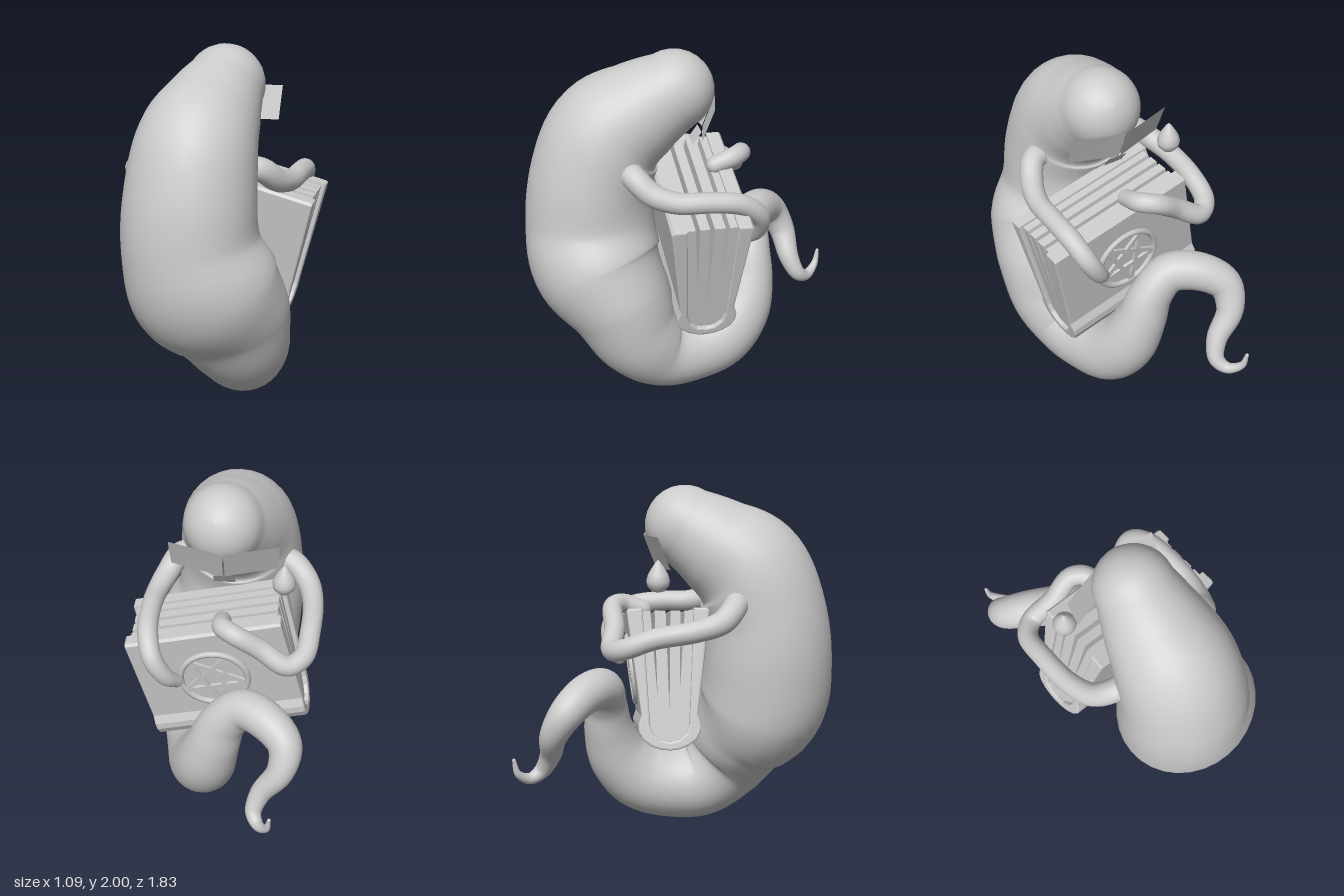
import * as THREE from 'three';

const mat = new THREE.MeshStandardMaterial({ color: 0xcccccc });
const thinMat = new THREE.MeshStandardMaterial({ color: 0xcccccc, side: THREE.DoubleSide });

function add(parent, name, geo, material = mat) {
  const m = new THREE.Mesh(geo, material);
  m.name = name;
  parent.add(m);
  return m;
}

// Smooth sweep through rows of [x, y, z, rSide, rNormal], with rounded ends
function sweep(rows, steps, sides) {
  const path = new THREE.CatmullRomCurve3(rows.map(r => new THREE.Vector3(r[0], r[1], r[2])));
  const radii = new THREE.CatmullRomCurve3(
    rows.map(r => new THREE.Vector3(r[3], r[4] ?? r[3], 0)), false, 'catmullrom', 0.5);
  const rings = [];
  const side = new THREE.Vector3(1, 0, 0);
  const capSteps = 7;
  for (let i = 0; i <= steps; i++) {
    const t = i / steps;
    const c = path.getPoint(t), tan = path.getTangent(t), r = radii.getPoint(t);
    side.addScaledVector(tan, -side.dot(tan)).normalize();
    const s = side.clone(), n = new THREE.Vector3().crossVectors(tan, s);
    const ring = (a, dir) => rings.push({
      c: c.clone().addScaledVector(tan, dir * Math.sin(a) * r.y), s, n,
      a: Math.max(r.x, 0.003) * Math.cos(a), b: Math.max(r.y, 0.003) * Math.cos(a) });
    if (i === 0) for (let k = capSteps; k > 0; k--) ring(k / capSteps * Math.PI / 2, -1);
    ring(0, 0);
    if (i === steps) for (let k = 1; k <= capSteps; k++) ring(k / capSteps * Math.PI / 2, 1);
  }
  const pos = [], idx = [];
  rings.forEach((g, i) => {
    for (let j = 0; j < sides; j++) {
      const a = j / sides * Math.PI * 2;
      const p = g.c.clone().addScaledVector(g.s, Math.cos(a) * g.a).addScaledVector(g.n, Math.sin(a) * g.b);
      pos.push(p.x, p.y, p.z);
      if (i === 0) continue;
      const k = (j + 1) % sides, lo = (i - 1) * sides, hi = i * sides;
      idx.push(lo + j, lo + k, hi + j, lo + k, hi + k, hi + j);
    }
  });
  const geo = new THREE.BufferGeometry();
  geo.setAttribute('position', new THREE.Float32BufferAttribute(pos, 3));
  geo.setIndex(idx);
  geo.computeVertexNormals();
  return geo;
}

// Extrude a (z, height) outline along x, centred
function extrudeAlongX(points, length, bevel) {
  const shape = new THREE.Shape(points.map(p => new THREE.Vector2(p[0], p[1])));
  const geo = new THREE.ExtrudeGeometry(shape, {
    depth: length - 2 * bevel, bevelEnabled: bevel > 0, bevelSize: bevel,
    bevelThickness: bevel, bevelOffset: -bevel, bevelSegments: 2 });
  geo.translate(0, 0, bevel - length / 2);
  geo.rotateY(Math.PI / 2);
  return geo;
}

// Flat quad from four corners
function quad(corners) {
  const geo = new THREE.BufferGeometry();
  geo.setAttribute('position', new THREE.Float32BufferAttribute(corners.flat(), 3));
  geo.setIndex([0, 1, 2, 0, 2, 3]);
  geo.computeVertexNormals();
  return geo;
}

function createBook() {
  const book = new THREE.Group();
  book.name = 'book';
  // U-shaped cover with a rolled spine at the bottom
  const outer = [[0.215, 0.385], [0.227, 0.37], [0.155, -0.2], [0.172, -0.25], [0.17, -0.29],
    [0.145, -0.335], [0.1, -0.368], [0.05, -0.386], [0, -0.392]];
  const inner = [[0, -0.345], [0.05, -0.335], [0.09, -0.3], [0.108, -0.25], [0.14, 0.385]];
  const flip = list => list.map(p => [-p[0], p[1]]).reverse();
  const profile = [...outer, ...flip(outer).slice(1), ...flip(inner), ...inner.slice(1)];
  add(book, 'cover', extrudeAlongX(profile, 0.89, 0.01));
  // Page block split by tapering slits: [position, half width, depth]
  const slits = [[0.085, 0.012, -0.1], [0.0, 0.013, -0.2], [-0.08, 0.012, -0.05]];
  add(book, 'pages', extrudeAlongX([
    [-0.1, -0.34], [0.1, -0.34], [0.15, 0.372],
    ...slits.flatMap(([z, w, d]) => [[z + w, 0.372], [z * 0.75, d], [z - w, 0.372]]),
    [-0.15, 0.372]], 0.84, 0));
  // Raised ring and star ornament on the cover
  const ornament = new THREE.Group();
  ornament.name = 'coverOrnament';
  const r = 0.19;
  add(ornament, 'ring', new THREE.TorusGeometry(r, 0.018, 8, 40));
  for (let i = 0; i < 5; i++) {
    const a = -Math.PI / 2 + i * Math.PI * 0.4;
    const bar = add(ornament, 'starBar', new THREE.BoxGeometry(0.028, 1.9 * r, 0.026));
    bar.position.set(Math.cos(a) * 0.309 * r, Math.sin(a) * 0.309 * r, 0);
    bar.rotation.z = a;
  }
  ornament.position.set(0.01, 0.05, -0.19);
  ornament.rotation.x = -0.124;
  book.add(ornament);
  book.position.set(0.02, 0.89, -0.045);
  book.rotation.z = -0.235;
  return book;
}

export function createModel() {
  const model = new THREE.Group();
  model.name = 'creature';

  // Head, body and curling tail in one sweep
  add(model, 'body', sweep([
    [0.015, 1.775, 0.07, 0.222, 0.225],
    [-0.015, 1.67, 0.24, 0.28, 0.275],
    [-0.04, 1.525, 0.425, 0.332, 0.335],
    [-0.05, 1.27, 0.53, 0.36, 0.345],
    [-0.045, 1.0, 0.545, 0.38, 0.368],
    [0.02, 0.76, 0.52, 0.425, 0.375],
    [0.115, 0.55, 0.41, 0.375, 0.31],
    [0.165, 0.36, 0.315, 0.295, 0.265],
    [0.155, 0.235, 0.17, 0.24, 0.235],
    [0.14, 0.215, 0.0, 0.215, 0.212],
    [0.12, 0.265, -0.18, 0.2, 0.205],
    [0.085, 0.4, -0.31, 0.18, 0.18],
    [0.035, 0.58, -0.37, 0.155, 0.145],
    [-0.025, 0.75, -0.385, 0.135, 0.12],
    [-0.13, 0.865, -0.405, 0.12, 0.115],
    [-0.27, 0.875, -0.5, 0.11],
    [-0.38, 0.8, -0.605, 0.097],
    [-0.365, 0.67, -0.68, 0.078],
    [-0.26, 0.52, -0.705, 0.06],
    [-0.225, 0.42, -0.755, 0.046],
    [-0.255, 0.385, -0.82, 0.033],
    [-0.305, 0.43, -0.885, 0.021],
    [-0.32, 0.515, -0.905, 0.01]], 150, 32));

  // Arms wrapped around the book
  add(model, 'leftArm', sweep([
    [0.2, 1.4, 0.36, 0.07], [0.29, 1.385, 0.335, 0.068], [0.355, 1.31, 0.25, 0.066],
    [0.4, 1.27, 0.12, 0.06], [0.415, 1.265, -0.05, 0.058], [0.41, 1.235, -0.23, 0.058],
    [0.375, 1.14, -0.34, 0.056], [0.305, 1.02, -0.345, 0.05], [0.25, 0.955, -0.3, 0.038]], 60, 16));
  add(model, 'rightArm', sweep([
    [-0.24, 1.4, 0.35, 0.07], [-0.36, 1.38, 0.32, 0.068], [-0.45, 1.31, 0.24, 0.066],
    [-0.488, 1.27, 0.1, 0.06], [-0.485, 1.23, -0.13, 0.058], [-0.455, 1.17, -0.29, 0.058],
    [-0.37, 1.15, -0.355, 0.058], [-0.22, 1.24, -0.335, 0.058], [-0.08, 1.33, -0.34, 0.056],
    [-0.01, 1.335, -0.28, 0.056], [0.0, 1.3, -0.17, 0.05]], 70, 16));

  model.add(createBook());

  // Flat eye panels and mouth panel
  for (const s of [1, -1]) {
    add(model, s > 0 ? 'leftEye' : 'rightEye', quad([
      [s * 0.005, 1.725, -0.165], [s * 0.3, 1.75, -0.1],
      [s * 0.295, 1.57, -0.03], [s * 0.005, 1.54, -0.095]]), thinMat);
  }
  add(model, 'mouth', quad([
    [-0.06, 1.53, -0.08], [0.06, 1.53, -0.08], [0.06, 1.46, -0.03], [-0.06, 1.46, -0.03]]), thinMat);

  // Teardrop beside the face
  const drop = [[0, -0.065], [0.035, -0.056], [0.058, -0.03], [0.065, 0], [0.055, 0.035],
    [0.035, 0.07], [0.015, 0.1], [0, 0.115]].map(p => new THREE.Vector2(p[0], p[1]));
  add(model, 'teardrop', new THREE.LatheGeometry(drop, 24)).position.set(-0.33, 1.52, -0.1);

  return model;
}
